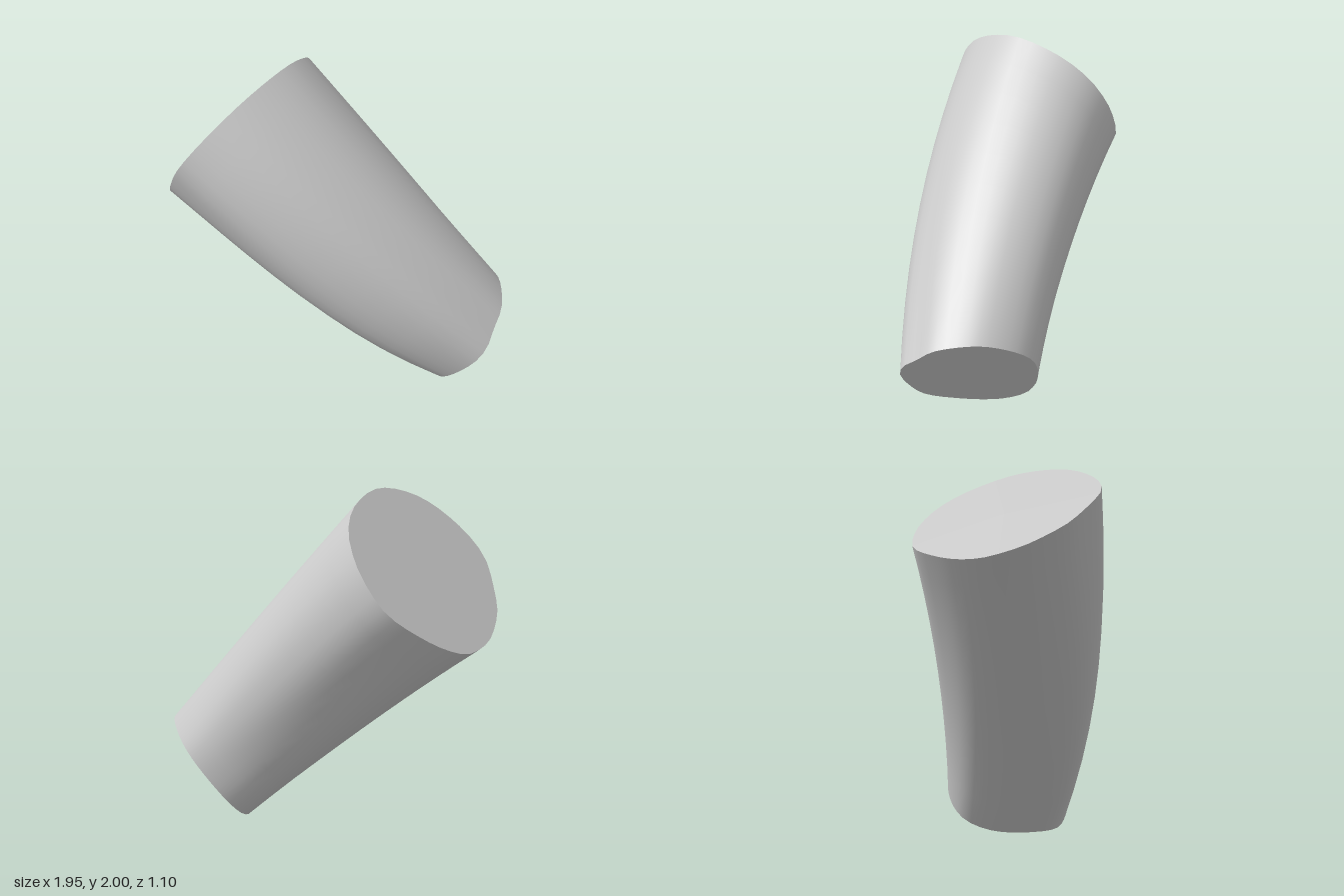
import * as THREE from 'three';

const SIDES = 40, ROWS = 10;
const V = (x, y, z) => new THREE.Vector3(x, y, z);

// Outline of the wide end as [x, z], lying on a tilted plane
const wideOutline = [
  [-0.6, -0.54], [-0.48, -0.552], [-0.43, -0.535], [-0.357, -0.47], [-0.315, -0.375],
  [-0.3, -0.234], [-0.326, 0], [-0.41, 0.21], [-0.52, 0.375], [-0.68, 0.51], [-0.78, 0.545],
  [-0.83, 0.53], [-0.91, 0.43], [-0.95, 0.36], [-0.977, 0.18], [-0.972, 0.07],
  [-0.93, -0.115], [-0.857, -0.255], [-0.742, -0.406],
].map(([x, z]) => V(x, 2.455 + 1.4 * x + 0.45 * z, z));

// Outline of the narrow end as [z, y], lying on a tilted plane
const narrowOutline = [
  [0.255, 0.31], [0.21, 0.39], [0.117, 0.456], [0.02, 0.53], [-0.106, 0.57], [-0.25, 0.58],
  [-0.39, 0.52], [-0.456, 0.446], [-0.467, 0.36], [-0.44, 0.24], [-0.4, 0.154], [-0.33, 0.07],
  [-0.217, 0.016], [-0.106, 0.003], [0.06, 0.027], [0.2, 0.08], [0.245, 0.165],
].map(([z, y]) => V(0.503 + 0.876 * y + 0.43 * z, y, z));

// Resamples an outline at even angles around its axis, so both ends line up
function rim(outline, axis) {
  const a = axis.normalize();
  const w = V(0, 0, 1).addScaledVector(a, -a.z).normalize();
  const u = a.clone().cross(w);
  const center = outline.reduce((sum, p) => sum.add(p), V(0, 0, 0)).divideScalar(outline.length);
  const samples = new THREE.CatmullRomCurve3(outline, true).getPoints(800).map(point => {
    const d = point.clone().sub(center).normalize();
    return { point, c: d.dot(w), s: d.dot(u) };
  });
  const points = [];
  for (let j = 0; j < SIDES; j++) {
    const c = Math.cos(j / SIDES * Math.PI * 2), s = Math.sin(j / SIDES * Math.PI * 2);
    points.push(samples.reduce((m, q) => (q.c * c + q.s * s > m.c * c + m.s * s ? q : m)).point);
  }
  return { center, points };
}

function buildGeometry(points, index) {
  const geometry = new THREE.BufferGeometry().setFromPoints(points);
  geometry.setIndex(index);
  geometry.computeVertexNormals();
  return geometry;
}

// Tapered wall between the rims, bowed to the front, fuller at the lower front and upper back
function wallGeometry(top, bottom) {
  const points = [], index = [];
  const across = V(0.68, 0.73, 0), belly = V(-0.45, -0.45, 0.77);
  for (let i = 0; i <= ROWS; i++) {
    const t = i / ROWS, bow = 4 * t * (1 - t);
    const center = top.center.clone().lerp(bottom.center, t);
    for (let j = 0; j < SIDES; j++) {
      const p = top.points[j].clone().lerp(bottom.points[j], t);
      const d = p.clone().sub(center).normalize();
      const lobe = d.dot(belly);
      p.z += bow * (0.06 + 0.0155 * d.z);
      p.addScaledVector(across, bow * (0.02 - 0.01 * d.dot(across)));
      p.addScaledVector(belly, bow * lobe ** 3 * (lobe > 0 ? 0.055 * (0.4 + 1.2 * t) : 0.025));
      points.push(p);
      if (i < ROWS) {
        const k = (j + 1) % SIDES;
        const A = i * SIDES + j, B = i * SIDES + k, C = A + SIDES, D = B + SIDES;
        index.push(A, C, B, B, C, D);
      }
    }
  }
  return buildGeometry(points, index);
}

// Flat fan closing a rim
function capGeometry(r, reversed) {
  const index = [];
  for (let j = 0; j < SIDES; j++) {
    const k = (j + 1) % SIDES;
    index.push(SIDES, reversed ? k : j, reversed ? j : k);
  }
  return buildGeometry([...r.points, r.center], index);
}

export function createModel() {
  const group = new THREE.Group();
  group.name = 'taperedLimb';
  const material = new THREE.MeshStandardMaterial({ color: 0xcccccc });
  const add = (name, geometry) => {
    const mesh = new THREE.Mesh(geometry, material);
    mesh.name = name;
    group.add(mesh);
  };

  const wide = rim(wideOutline, V(-1.4, 1, -0.45));
  const narrow = rim(narrowOutline, V(-1, 0.876, 0.43));

  add('wall', wallGeometry(wide, narrow));
  add('wideEndCap', capGeometry(wide, false));
  add('narrowEndCap', capGeometry(narrow, true));
  return group;
}
